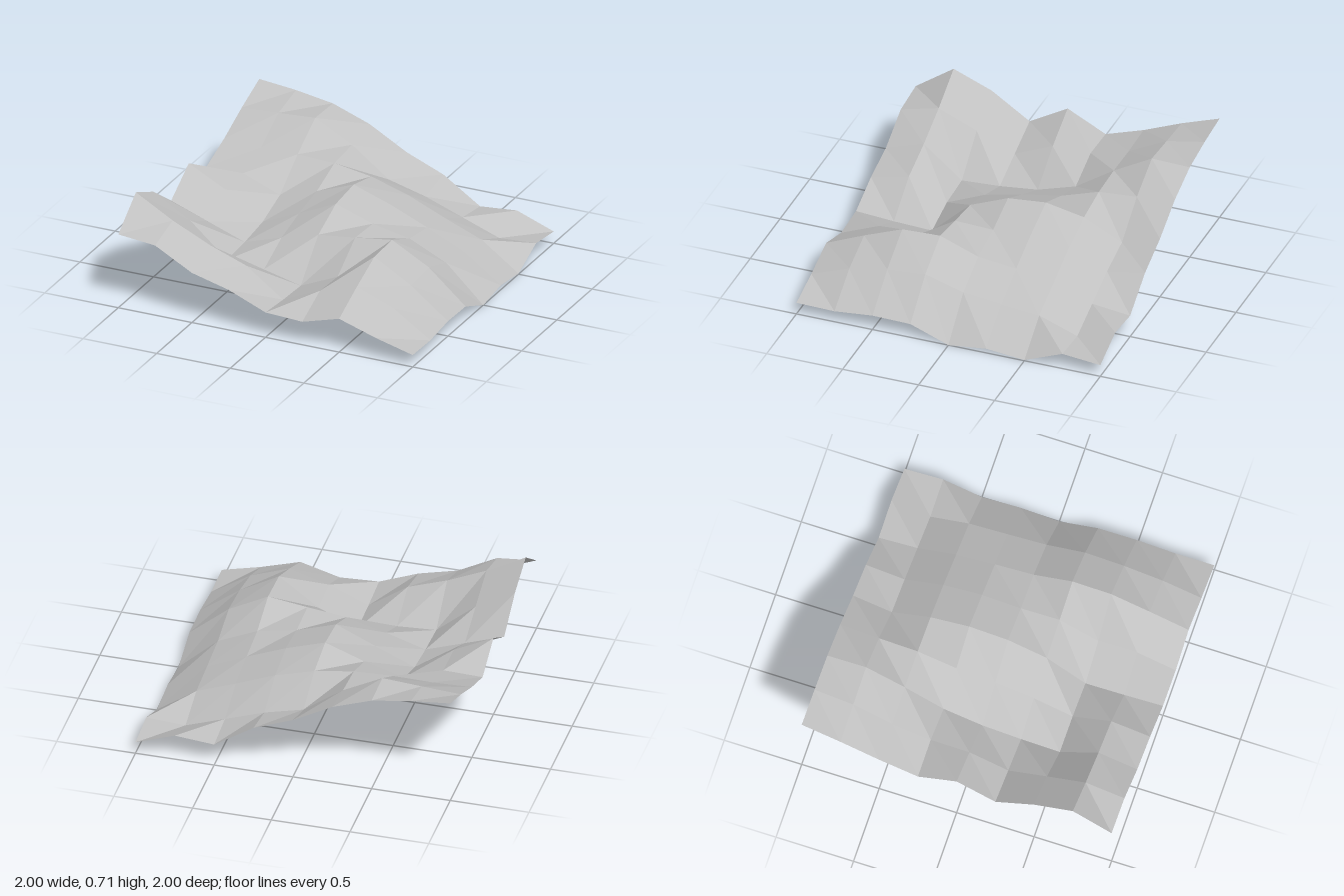
import * as THREE from 'three';

// Ground heights in hundredths: rows run back to front, columns from -x to +x
const HEIGHTS = [
  [71, 68.5, 64.5, 55.5, 41.6, 31.5, 15, 17.2, 8],
  [62, 63.5, 65.2, 52, 33.5, 27, 18, 9, 10.5],
  [51.5, 50.6, 51, 50, 46, 38.5, 28, 18.3, 0.5],
  [43, 43.7, 34, 41.5, 51, 42.5, 32, 20.7, 3],
  [55.8, 43, 26, 37, 48.5, 40, 35, 23.5, 0],
  [41, 32, 23, 31, 38, 41, 44.5, 31, 9.5],
  [57.5, 43, 21.5, 20, 14, 25, 43.5, 29, 10],
  [67.5, 53.5, 42, 33, 15, 26, 33.5, 24, 7.5],
  [49.5, 47, 33.5, 27, 16.8, 15.5, 22.5, 14.5, 8],
];

export function createModel() {
  const group = new THREE.Group();
  group.name = 'terrain';

  const rock = new THREE.MeshStandardMaterial({
    color: 0xc0c0c0,
    flatShading: true,
    side: THREE.DoubleSide,
  });
  rock.name = 'pale grey';

  // Square sheet on an 8 x 8 grid, each corner lifted to its height
  const n = HEIGHTS.length;
  const sheet = new THREE.PlaneGeometry(2, 2, n - 1, n - 1).rotateX(-Math.PI / 2);
  const pos = sheet.attributes.position;
  for (let i = 0; i < pos.count; i++) {
    pos.setY(i, HEIGHTS[Math.floor(i / n)][i % n] / 100);
  }
  const faceted = sheet.toNonIndexed();
  faceted.computeVertexNormals();

  const ground = new THREE.Mesh(faceted, rock);
  ground.name = 'hillyGround';
  group.add(ground);
  return group;
}
